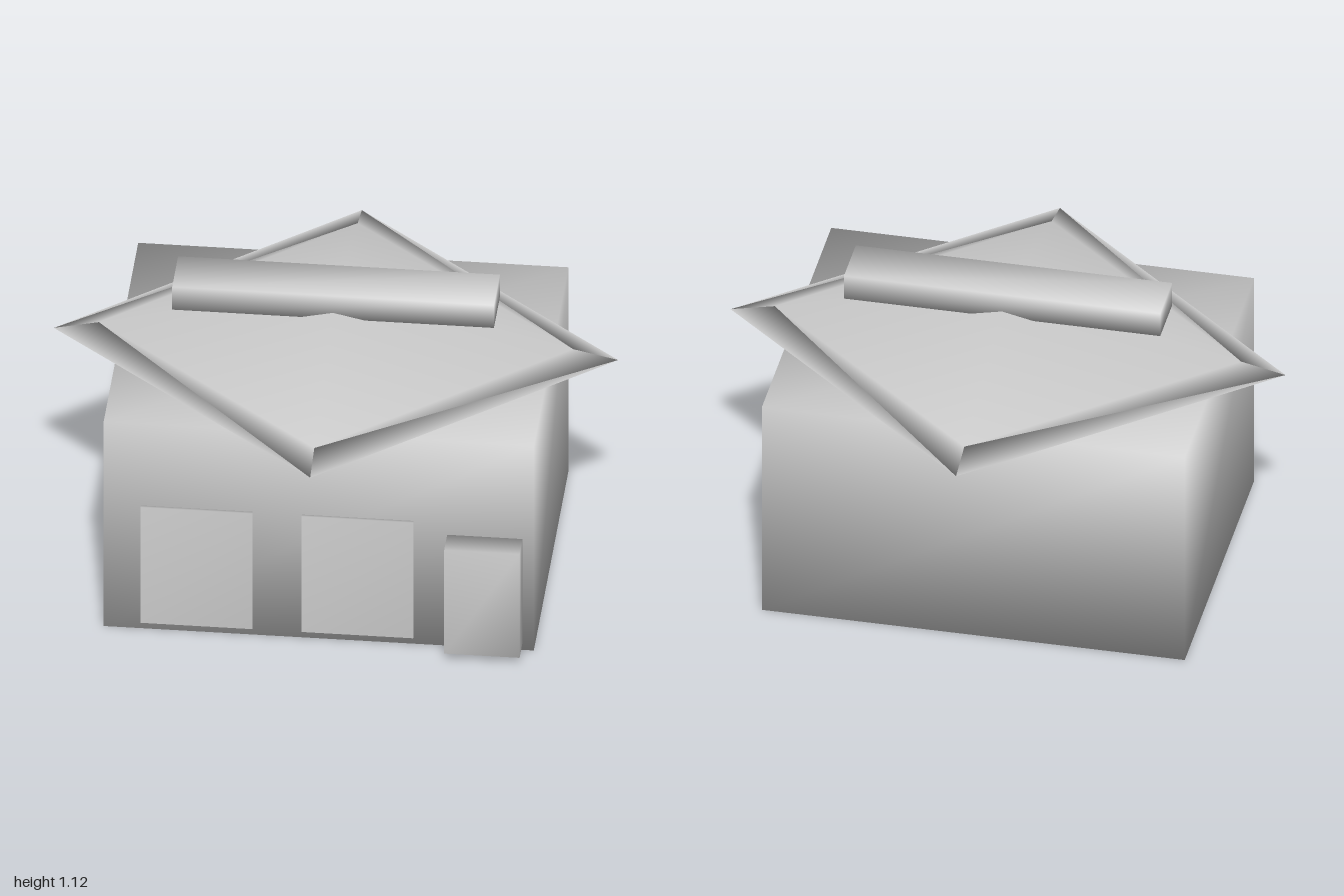
import * as THREE from 'three';
import { mergeVertices } from 'three/addons/utils/BufferGeometryUtils.js';

const material = new THREE.MeshStandardMaterial({ color: 0xcccccc });

// Weld shared corners so the shading runs smoothly across the edges
function weld(geometry) {
  geometry.deleteAttribute('uv');
  geometry.deleteAttribute('normal');
  const welded = mergeVertices(geometry, 1e-4);
  welded.computeVertexNormals();
  return welded;
}

function part(name, geometry) {
  const mesh = new THREE.Mesh(weld(geometry), material);
  mesh.name = name;
  return mesh;
}

// Box given by its extents on each axis
function box(name, [x0, x1], [y0, y1], [z0, z1]) {
  const mesh = part(name, new THREE.BoxGeometry(x1 - x0, y1 - y0, z1 - z0));
  mesh.position.set((x0 + x1) / 2, (y0 + y1) / 2, (z0 + z1) / 2);
  return mesh;
}

export function createModel() {
  const group = new THREE.Group();
  group.name = 'hut';

  group.add(box('walls', [-0.762, 0.762], [0, 0.858], [-0.583, 0.583]));

  // Four-sided roof turned so its corners point along the axes
  const profile = [[0, 0.86], [1, 0.86], [0.84, 0.895], [0, 1.08]]
    .map(([r, y]) => new THREE.Vector2(r, y));
  const roof = part('roof', new THREE.LatheGeometry(profile, 4).scale(1, 1, 0.873));
  group.add(roof);

  // Beam along the ridge
  group.add(box('ridgeBeam', [-0.57, 0.57], [1.03, 1.125], [-0.1, 0.1]));

  // Two thin door panels on the front wall
  for (const [name, x] of [['rightDoor', -0.432], ['leftDoor', 0.138]]) {
    group.add(box(name, [x - 0.198, x + 0.198], [0.03, 0.515], [0.57, 0.595]));
  }

  // Cabinet against the front wall
  group.add(box('cabinet', [0.455, 0.722], [0.03, 0.465], [0.575, 0.682]));

  return group;
}
